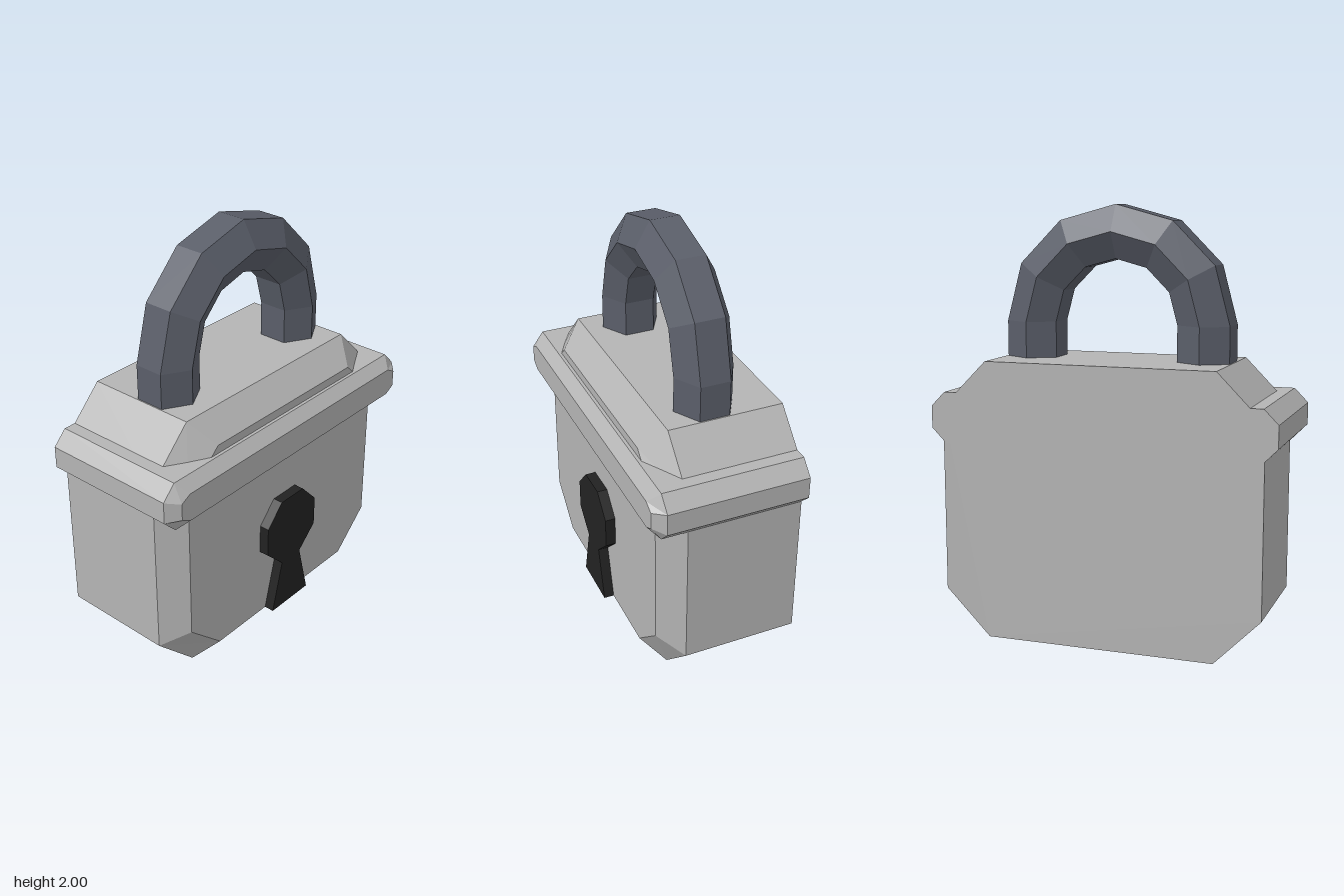
import * as THREE from 'three';

const steel = new THREE.MeshStandardMaterial({ color: 0xb4b4b4 });
steel.name = 'lightSteel';
const iron = new THREE.MeshStandardMaterial({ color: 0x5a5e69 });
iron.name = 'darkIron';
const black = new THREE.MeshStandardMaterial({ color: 0x222222 });
black.name = 'keyholeBlack';

// Flat-faced skin over a row of convex rings, capped at both ends
function loft(rings) {
  const pos = [];
  const tri = (a, b, c) => pos.push(...a, ...b, ...c);
  const n = rings[0].length;
  for (let i = 0; i < rings.length - 1; i++) {
    for (let j = 0; j < n; j++) {
      const k = (j + 1) % n;
      tri(rings[i][j], rings[i][k], rings[i + 1][k]);
      tri(rings[i][j], rings[i + 1][k], rings[i + 1][j]);
    }
  }
  const first = rings[0], last = rings[rings.length - 1];
  for (let j = 1; j < n - 1; j++) {
    tri(first[0], first[j + 1], first[j]);
    tri(last[0], last[j], last[j + 1]);
  }
  const geo = new THREE.BufferGeometry();
  geo.setAttribute('position', new THREE.Float32BufferAttribute(pos, 3));
  geo.computeVertexNormals();
  return geo;
}

// Upright octagon: half width w, heights y0 to y1, corners cut by cx and cy
function octagon(w, y0, y1, cx, cy, z) {
  const right = [[w - cx, y0], [w, y0 + cy], [w, y1 - cy], [w - cx, y1]];
  const left = right.map(([x, y]) => [-x, y]).reverse();
  return [...right, ...left].map(([x, y]) => [x, y, z]);
}

function add(group, name, geometry, material) {
  const mesh = new THREE.Mesh(geometry, material);
  mesh.name = name;
  group.add(mesh);
  return mesh;
}

export function createModel() {
  const model = new THREE.Group();
  model.name = 'padlock';

  // Body with a bevelled front and flat back
  add(model, 'body', loft([
    octagon(0.755, 0, 1.3, 0.215, 0.217, -0.355),
    octagon(0.755, 0, 1.3, 0.215, 0.217, 0.185),
    octagon(0.65, 0.11, 1.19, 0.19, 0.178, 0.29),
  ]), steel);

  // Raised band around the front and sides
  add(model, 'band', loft([
    octagon(0.813, 0.915, 1.15, 0.065, 0.066, -0.355),
    octagon(0.813, 0.915, 1.15, 0.065, 0.066, 0.305),
    octagon(0.757, 0.965, 1.098, 0.05, 0.027, 0.355),
  ]), steel);

  // Hexagonal shackle: straight legs joined by a six-step arch
  const section = (cx, cy, angle) => Array.from({ length: 6 }, (_, k) => {
    const a = Math.PI / 6 + k * Math.PI / 3;
    const out = 0.14 * Math.cos(a);
    return [cx + out * Math.cos(angle), cy + out * Math.sin(angle), -0.035 - 0.14 * Math.sin(a)];
  });
  const R = 0.413, archY = 1.466, legY = 1.28;
  const rings = [section(R, legY, 0)];
  for (let i = 0; i <= 6; i++) {
    const t = i * Math.PI / 6;
    rings.push(section(R * Math.cos(t), archY + R * Math.sin(t), t));
  }
  rings.push(section(-R, legY, Math.PI));
  add(model, 'shackle', loft(rings), iron);

  // Keyhole standing proud of the front face
  const half = [[0.13, 0.11], [0.066, 0.365], [0.174, 0.468], [0.174, 0.615], [0.077, 0.718]];
  const outline = [...half, ...half.map(([x, y]) => [-x, y]).reverse()];
  const shape = new THREE.Shape(outline.map(([x, y]) => new THREE.Vector2(x, y)));
  const keyhole = new THREE.ExtrudeGeometry(shape, { depth: 0.06, bevelEnabled: false });
  add(model, 'keyhole', keyhole, black).position.z = 0.278;

  return model;
}
